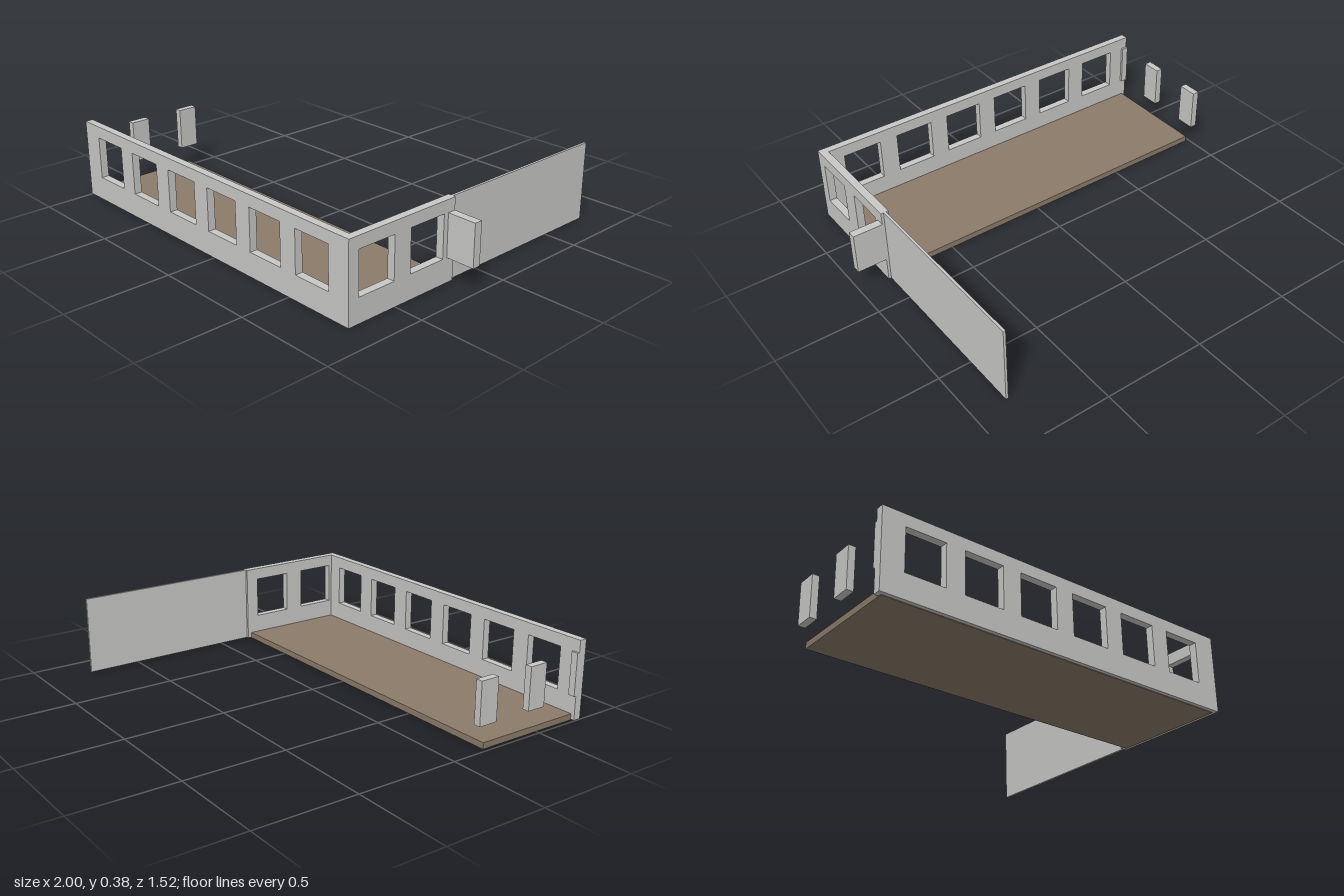
import * as THREE from 'three';

const HEIGHT = 0.383, BASE = 0.003, WALL = 0.038;
const SILL = 0.12, HEAD = 0.325;

export function createModel() {
  const model = new THREE.Group();
  model.name = 'roomSection';
  const plaster = new THREE.MeshStandardMaterial({ color: 0xc8c8c6 });
  plaster.name = 'plasterGrey';
  const wood = new THREE.MeshStandardMaterial({ color: 0x8b7b6a });
  wood.name = 'floorBrown';

  // Box given by its limits on each axis
  function block(name, [x0, x1], [y0, y1], [z0, z1], material = plaster) {
    const mesh = new THREE.Mesh(new THREE.BoxGeometry(x1 - x0, y1 - y0, z1 - z0), material);
    mesh.position.set((x0 + x1) / 2, (y0 + y1) / 2, (z0 + z1) / 2);
    mesh.name = name;
    model.add(mesh);
    return mesh;
  }

  // Upright wall from a to b along its own x axis, with window openings
  function windowWall(name, a, b, windows) {
    const shape = new THREE.Shape();
    shape.moveTo(a, BASE).lineTo(b, BASE).lineTo(b, HEIGHT).lineTo(a, HEIGHT).closePath();
    for (const [l, r] of windows) {
      const hole = new THREE.Path();
      hole.moveTo(l, SILL).lineTo(l, HEAD).lineTo(r, HEAD).lineTo(r, SILL).closePath();
      shape.holes.push(hole);
    }
    const geometry = new THREE.ExtrudeGeometry(shape, { depth: WALL, bevelEnabled: false });
    const mesh = new THREE.Mesh(geometry, plaster);
    mesh.name = name;
    model.add(mesh);
    return mesh;
  }

  // Floor slab, running under the wall centres
  block('floor', [-0.981, 0.838], [0, 0.03], [0.18, 0.741], wood);

  // Long front wall with six windows
  const frontWindows = [];
  for (let i = 0; i < 6; i++) {
    const left = -0.89 + i * 0.2876;
    frontWindows.push([left, left + 0.195]);
  }
  windowWall('frontWall', -1, 0.857, frontWindows).position.z = 0.722;

  // End wall with two windows, turned so its length runs along z
  const endWall = windowWall('endWall', -0.722, -0.16, [[-0.706, -0.511], [-0.418, -0.225]]);
  endWall.rotation.y = Math.PI / 2;
  endWall.position.x = 0.857 - WALL;

  // Thin partition continuing behind the end wall
  block('partition', [0.832, 0.844], [BASE, HEIGHT], [-0.763, 0.16]);

  // Short pier outside the end wall
  block('outerPier', [0.857, 1], [SILL, 0.323], [0.16, 0.2]);

  // Piers along the open side
  for (const z of [[0.134, 0.231], [0.422, 0.517], [0.71, 0.722]]) {
    block('openSidePier', [-1, -0.966], [SILL, HEAD], z);
  }

  return model;
}
